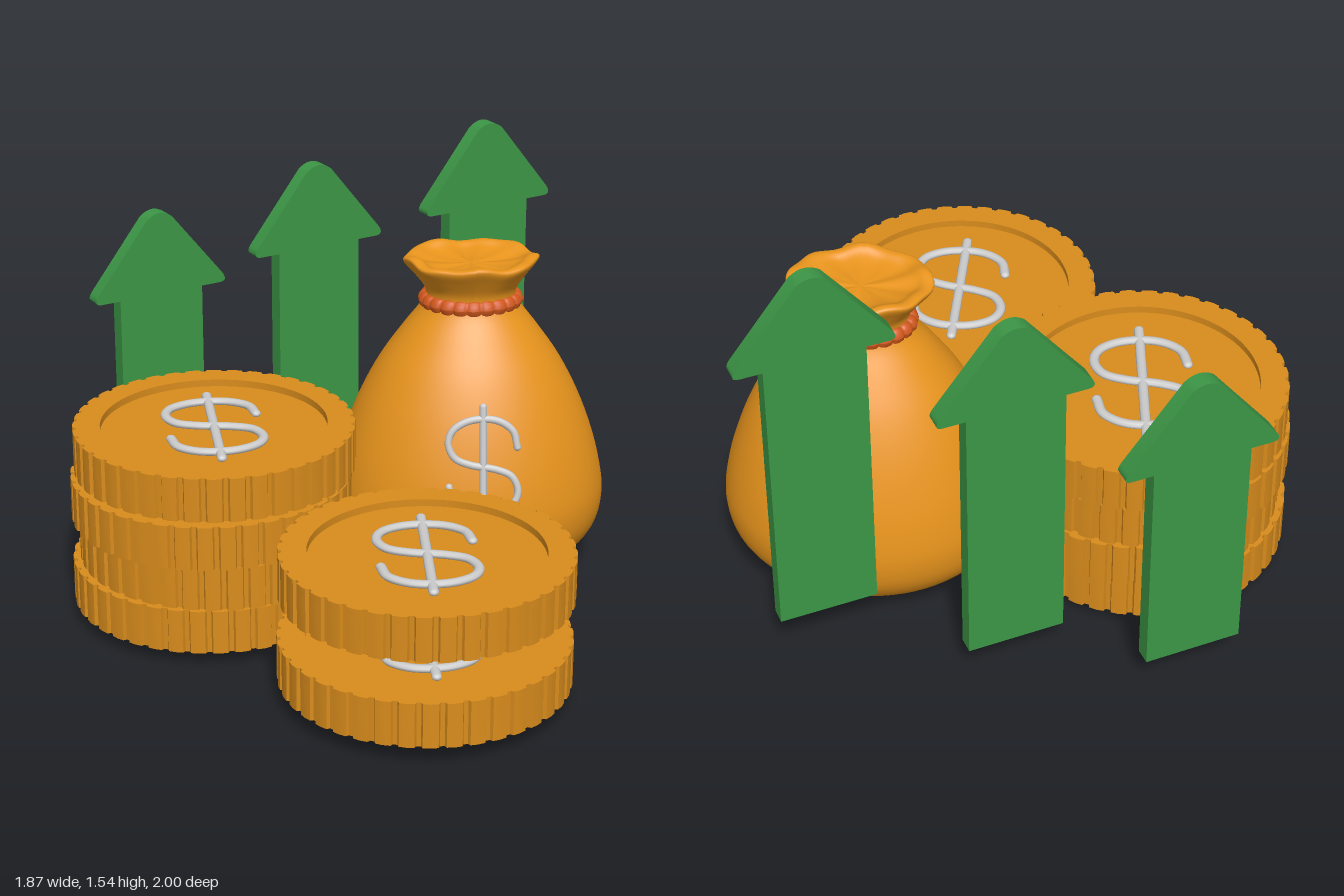
import * as THREE from 'three';
import { toCreasedNormals } from 'three/addons/utils/BufferGeometryUtils.js';

const mat = (color) => new THREE.MeshStandardMaterial({ color });
const gold = mat(0xd98c1c), cloth = mat(0xe8941c), cord = mat(0xd2581c);
const green = mat(0x3c9646), grey = mat(0xcccccc);

function add(parent, name, geometry, material) {
  const mesh = new THREE.Mesh(geometry, material);
  mesh.name = name;
  parent.add(mesh);
  return mesh;
}

// Currency sign drawn in the xy plane: an S curve and a bar, with round ends
function currencySign() {
  const sign = new THREE.Group();
  sign.name = 'currencySign';
  const half = [[0.155, 0.09], [0.135, 0.165], [0.06, 0.215], [-0.06, 0.215],
    [-0.138, 0.17], [-0.158, 0.11], [-0.13, 0.045], [-0.06, 0.012]];
  const all = [...half, ...half.map(([x, y]) => [-x, -y]).reverse()];
  const pts = all.map(([x, y]) => new THREE.Vector3(x, y, 0));
  const curve = new THREE.CatmullRomCurve3(pts);
  add(sign, 'signCurve', new THREE.TubeGeometry(curve, 90, 0.017, 10), grey);
  for (const end of [pts[0], pts[pts.length - 1]]) {
    add(sign, 'curveEnd', new THREE.SphereGeometry(0.017, 10, 8), grey).position.copy(end);
  }
  add(sign, 'signBar', new THREE.CapsuleGeometry(0.017, 0.555, 5, 10), grey);
  return sign;
}

// Toothed outline of a coin
function coinOutline(hole) {
  const shape = new THREE.Shape();
  const teeth = 40, step = (Math.PI * 2) / teeth;
  for (let i = 0; i < teeth; i++) {
    [[0, 0.472], [0.07, 0.483], [0.4, 0.485], [0.73, 0.483], [0.8, 0.472]].forEach(([f, r], k) => {
      const a = (i + f) * step;
      shape[i + k ? 'lineTo' : 'moveTo'](r * Math.cos(a), r * Math.sin(a));
    });
  }
  shape.closePath();
  if (hole) shape.holes.push(new THREE.Path().absarc(0, 0, hole, 0, Math.PI * 2, true));
  return shape;
}

function extrudeUp(shape, depth) {
  const g = new THREE.ExtrudeGeometry(shape, { depth, bevelEnabled: false, curveSegments: 48 });
  return toCreasedNormals(g.rotateX(-Math.PI / 2), 0.4);
}

const COIN_HEIGHT = 0.155, RECESS = 0.025;
const bodyGeometry = extrudeUp(coinOutline(), COIN_HEIGHT - RECESS);
const rimGeometry = extrudeUp(coinOutline(0.39), RECESS);

function coin(x, y, z, turn) {
  const group = new THREE.Group();
  group.name = 'coin';
  add(group, 'coinBody', bodyGeometry, gold);
  add(group, 'coinRim', rimGeometry, gold).position.y = COIN_HEIGHT - RECESS;
  const sign = currencySign();
  sign.rotation.x = -Math.PI / 2;
  sign.scale.z = 0.75;
  sign.position.y = COIN_HEIGHT - 0.014;
  group.add(sign);
  group.position.set(x, y, z);
  group.rotation.y = turn;
  return group;
}

// Upright arrow with softened head corners
function arrow(x, bottom, tip) {
  const base = tip - 0.305, w = 0.165, h = 0.262;
  const s = new THREE.Shape();
  s.moveTo(-w, bottom);
  s.lineTo(w, bottom);
  s.lineTo(w, base);
  s.lineTo(h - 0.025, base);
  s.quadraticCurveTo(h + 0.012, base, h - 0.012, base + 0.035);
  s.lineTo(0.05, tip - 0.02);
  s.quadraticCurveTo(0, tip + 0.02, -0.05, tip - 0.02);
  s.lineTo(-h + 0.012, base + 0.035);
  s.quadraticCurveTo(-h - 0.012, base, -h + 0.025, base);
  s.lineTo(-w, base);
  s.closePath();
  const g = new THREE.ExtrudeGeometry(s, { depth: 0.057, bevelEnabled: false, curveSegments: 8 });
  g.translate(0, 0, -0.0285);
  const mesh = new THREE.Mesh(toCreasedNormals(g, 0.5), green);
  mesh.name = 'arrow';
  mesh.position.set(x, 0, -0.85);
  mesh.rotation.y = 0.49;
  return mesh;
}

// Move every vertex by a rule given its angle around the y axis
function warp(geometry, rule) {
  const p = geometry.attributes.position, v = new THREE.Vector3();
  for (let i = 0; i < p.count; i++) {
    v.fromBufferAttribute(p, i);
    rule(v, Math.atan2(v.z, v.x));
    p.setXYZ(i, v.x, v.y, v.z);
  }
  geometry.computeVertexNormals();
  return geometry;
}

function moneySack() {
  const sack = new THREE.Group();
  sack.name = 'moneySack';
  const smooth = (points, n) => new THREE.SplineCurve(
    points.map(([r, y]) => new THREE.Vector2(r, y))).getPoints(n).map((q) => q.setX(Math.max(q.x, 0)));

  // Bulging body up to the neck
  const body = smooth([[0, 0], [0.14, 0.013], [0.27, 0.05], [0.38, 0.115], [0.455, 0.205], [0.48, 0.31],
    [0.469, 0.42], [0.435, 0.55], [0.382, 0.69], [0.315, 0.82], [0.24, 0.93], [0.18, 1.01], [0.16, 1.05]], 48);
  add(sack, 'sackBody', new THREE.LatheGeometry(body, 64), cloth);

  // Flared mouth with a wavy, gathered top
  const mouth = smooth([[0.155, 1.04], [0.16, 1.085], [0.195, 1.135], [0.227, 1.175], [0.228, 1.193],
    [0.2, 1.196], [0.165, 1.18], [0.1, 1.17], [0, 1.168]], 32);
  add(sack, 'sackMouth', warp(new THREE.LatheGeometry(mouth, 64), (v, a) => {
    const k = THREE.MathUtils.clamp((v.y - 1.08) / 0.1, 0, 1) * Math.min(Math.hypot(v.x, v.z) / 0.2, 1);
    const grow = 1 + 0.02 * k * Math.cos(8 * a);
    v.x *= grow;
    v.z *= grow;
    v.y += 0.006 * k * (Math.sin(5 * a) + 0.6 * Math.sin(9 * a + 1));
  }), cloth);

  // Ribbed cord around the neck
  const ring = new THREE.TorusGeometry(0.155, 0.028, 12, 176).rotateX(Math.PI / 2);
  add(sack, 'neckCord', warp(ring, (v, a) => {
    const r = Math.hypot(v.x, v.z), bump = Math.sqrt(Math.abs(Math.sin(11 * a)));
    const k = (0.155 + (r - 0.155) * (0.65 + 0.35 * bump)) / r;
    v.x *= k;
    v.z *= k;
    v.y = v.y * (0.85 + 0.2 * bump) + 1.04;
  }), cord);

  sack.scale.z = 0.805;
  sack.position.set(0.452, 0, -0.407);
  return sack;
}

export function createModel() {
  const model = new THREE.Group();
  model.name = 'savings';

  // Tall stack, then short stack: x, y, z, turn
  const coins = [
    [-0.455, 0.05, -0.175, 0.3], [-0.43, 0.203, -0.185, 0.2], [-0.455, 0.357, -0.175, 0.05], [-0.443, 0.525, -0.19, 0.095],
    [0.235, 0.065, 0.515, 0.06], [0.24, 0.355, 0.497, 0],
  ];
  for (const c of coins) model.add(coin(...c));

  model.add(moneySack());

  // Sign leaning on the front of the sack
  const sackSign = currencySign();
  sackSign.name = 'sackSign';
  sackSign.scale.setScalar(0.755);
  sackSign.position.set(0.472, 0.553, -0.052);
  sackSign.rotation.x = -0.2;
  model.add(sackSign);

  // Rising arrows: x, bottom, tip
  for (const a of [[-0.64, 0.13, 1.225], [-0.07, 0.13, 1.395], [0.537, 0.21, 1.54]]) model.add(arrow(...a));
  return model;
}
